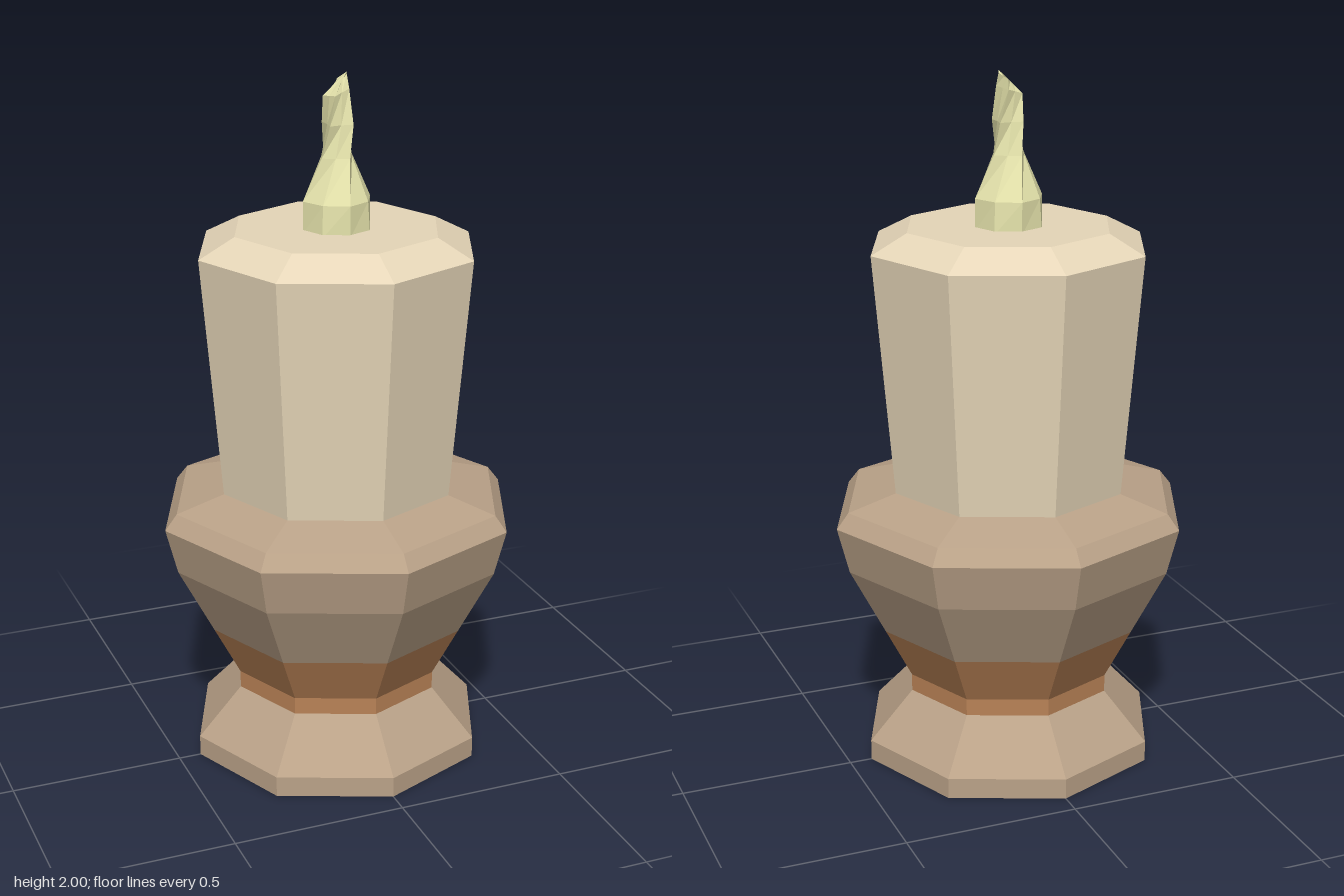
import * as THREE from 'three';

const SIDES = 8;

function mesh(name, geometry, color) {
  const geo = geometry.index ? geometry.toNonIndexed() : geometry;
  geo.computeVertexNormals();
  const m = new THREE.Mesh(geo, new THREE.MeshStandardMaterial({ color, flatShading: true }));
  m.name = name;
  return m;
}

// Octagonal turned part from [radius, height] pairs, bottom to top
function turned(name, profile, color) {
  const points = profile.map(([r, y]) => new THREE.Vector2(r, y));
  return mesh(name, new THREE.LatheGeometry(points, SIDES), color);
}

// Twisted, fluted flame lofted through rings: y, outer and inner radius, twist, offset x and z, tilt
function flameGeometry() {
  const rings = [
    [1.56, 0.1, 0.1, 0, 0, 0, 0],
    [1.65, 0.1, 0.094, 0, 0, 0, 0],
    [1.77, 0.055, 0.042, 0.35, 0, 0, 0],
    [1.86, 0.048, 0.03, 0.75, 0.002, 0.002, 0],
    [1.945, 0.036, 0.024, 1.15, -0.002, 0, 0.3],
    [1.975, 0.022, 0.012, 1.4, 0.008, -0.004, 0.8],
  ];
  const pos = [];
  const index = [];
  for (const [y, outer, inner, twist, ox, oz, tilt] of rings) {
    for (let i = 0; i < SIDES; i++) {
      const a = (i / SIDES) * Math.PI * 2 + twist;
      const r = i % 2 ? inner : outer;
      const x = Math.sin(a) * r;
      pos.push(ox + x, y + x * tilt, oz + Math.cos(a) * r);
    }
  }
  for (let k = 0; k < rings.length - 1; k++) {
    for (let i = 0; i < SIDES; i++) {
      const a = k * SIDES + i;
      const b = k * SIDES + ((i + 1) % SIDES);
      index.push(a, b, b + SIDES, a, b + SIDES, a + SIDES);
    }
  }
  // Off-centre tip closes the top
  const tip = pos.length / 3;
  const last = (rings.length - 1) * SIDES;
  pos.push(0.028, 2, 0.005);
  for (let i = 0; i < SIDES; i++) index.push(last + i, last + ((i + 1) % SIDES), tip);
  const geo = new THREE.BufferGeometry();
  geo.setAttribute('position', new THREE.Float32BufferAttribute(pos, 3));
  geo.setIndex(index);
  return geo;
}

export function createModel() {
  const group = new THREE.Group();
  group.name = 'candleInHolder';
  const clay = 0xbaa288;

  // Holder: flared foot, coloured waist and wide cup
  group.add(turned('foot', [[0, 0], [0.435, 0], [0.435, 0.06], [0.305, 0.2]], clay));
  group.add(turned('waist', [[0.305, 0.2], [0.305, 0.25], [0.383, 0.4]], 0xb98256));
  group.add(turned('cup', [[0.383, 0.4], [0.487, 0.6], [0.522, 0.735], [0.487, 0.78], [0.345, 0.82]], clay));

  // Candle widening upwards with a bevelled top
  group.add(turned('candle', [[0.345, 0.82], [0.405, 1.515], [0.3, 1.57], [0, 1.57]], 0xe6d6b8));

  group.add(mesh('flame', flameGeometry(), 0xe6e4ac));
  return group;
}
